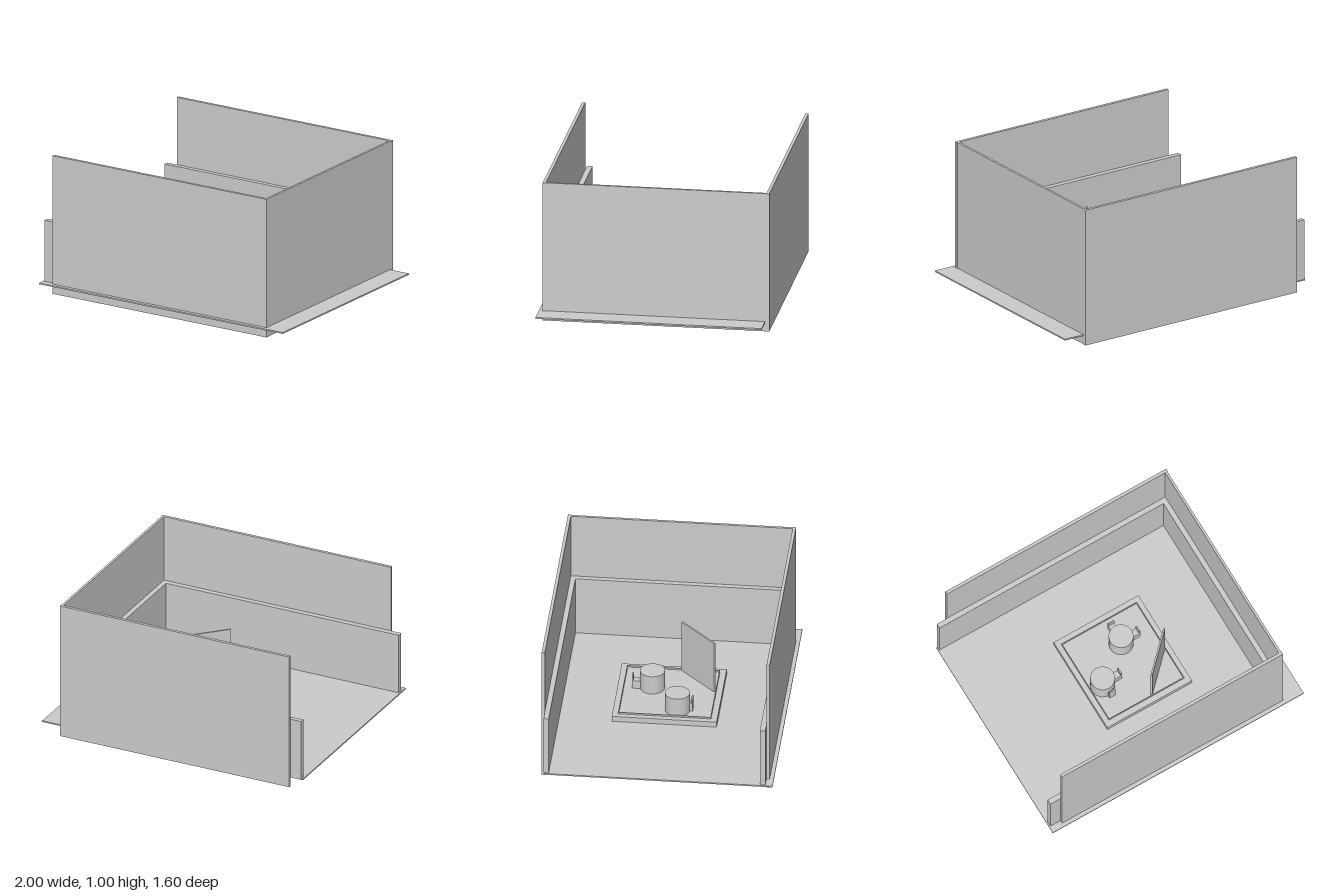
import * as THREE from 'three';

const material = new THREE.MeshStandardMaterial({ color: 0xcccccc });

// Box given by its limits on each axis
function box(parent, name, [x0, x1], [y0, y1], [z0, z1]) {
  const mesh = new THREE.Mesh(new THREE.BoxGeometry(x1 - x0, y1 - y0, z1 - z0), material);
  mesh.position.set((x0 + x1) / 2, (y0 + y1) / 2, (z0 + z1) / 2);
  mesh.name = name;
  parent.add(mesh);
  return mesh;
}

// Round drum with two stepped brackets, each facing a given angle
function drum(name, x, z, bracketAngles) {
  const group = new THREE.Group();
  group.name = name;
  group.position.set(x, 0.11, z);
  const body = new THREE.Mesh(new THREE.CylinderGeometry(0.085, 0.085, 0.14, 48), material);
  body.position.y = 0.07;
  body.name = 'drumBody';
  group.add(body);
  for (const angle of bracketAngles) {
    const bracket = new THREE.Group();
    bracket.name = 'bracket';
    bracket.rotation.y = angle;
    box(bracket, 'bracketBase', [0.08, 0.13], [0, 0.06], [-0.024, 0.024]);
    box(bracket, 'bracketPlate', [0.13, 0.14], [0, 0.1], [-0.024, 0.024]);
    group.add(bracket);
  }
  return group;
}

export function createModel() {
  const model = new THREE.Group();
  model.name = 'openEnclosure';

  // Floor sheet, reaching past the walls
  box(model, 'floor', [-1, 1], [0.06, 0.07], [-0.77, 0.8]);

  // Tall thin outer walls, open on one side
  box(model, 'outerFrontWall', [-0.91, 0.85], [0, 0.995], [0.75, 0.772]);
  box(model, 'outerBackWall', [-0.91, 0.85], [0, 0.995], [-0.8, -0.778]);
  box(model, 'outerSideWall', [0.83, 0.847], [0, 0.995], [-0.778, 0.75]);

  // Lower, thicker inner walls
  box(model, 'innerFrontWall', [-0.99, 0.83], [0.07, 0.51], [0.712, 0.75]);
  box(model, 'innerBackWall', [-0.99, 0.83], [0.07, 0.51], [-0.778, -0.743]);
  box(model, 'innerSideWall', [0.795, 0.83], [0.07, 0.51], [-0.743, 0.712]);

  // Central platform with a fine raised rim
  const platform = new THREE.Group();
  platform.name = 'platform';
  model.add(platform);
  box(platform, 'platformBase', [-0.295, 0.38], [0.07, 0.11], [-0.38, 0.343]);
  for (const x of [-0.258, 0.338]) box(platform, 'rim', [x, x + 0.006], [0.11, 0.122], [-0.341, 0.301]);
  for (const z of [-0.341, 0.295]) box(platform, 'rim', [-0.252, 0.338], [0.11, 0.122], [z, z + 0.006]);

  // Upright panel across one corner
  const panel = box(platform, 'cornerPanel', [-0.176, 0.176], [0.11, 0.505], [-0.006, 0.006]);
  panel.position.x = 0.213;
  panel.position.z = 0.165;
  panel.rotation.y = Math.PI / 4;

  // Two drums, one turned half round
  platform.add(drum('backDrum', 0.1, -0.14, [0, Math.PI / 2]));
  platform.add(drum('frontDrum', -0.165, 0.06, [0, -Math.PI / 2 + 0.2]));
  // Square up the bracket set off-centre on the front drum
  const offset = platform.children.at(-1).children.at(-1);
  offset.rotation.y = -Math.PI / 2;
  offset.position.set(0.018, 0, -0.035);

  return model;
}
